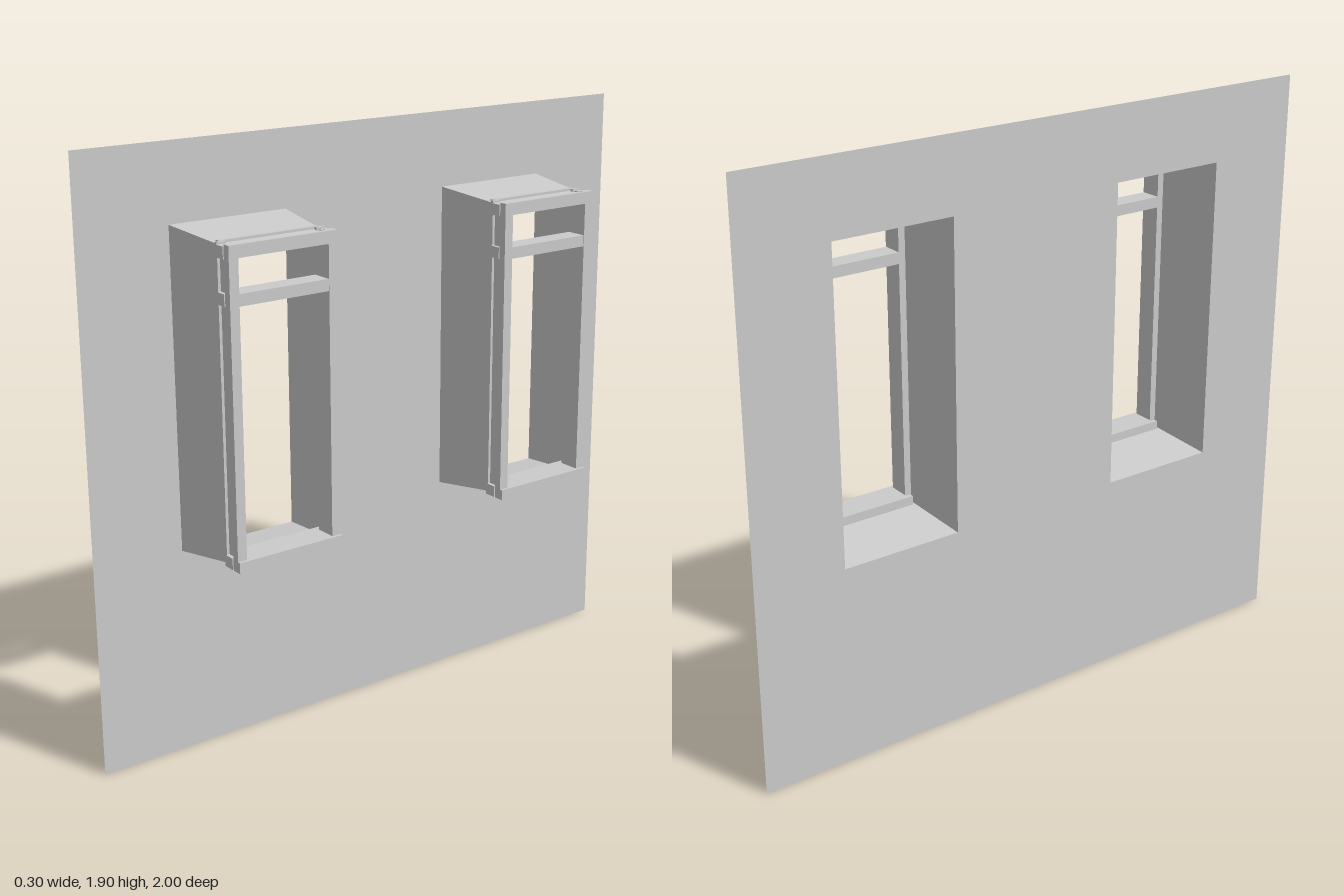
import * as THREE from 'three';

const grey = new THREE.MeshStandardMaterial({ color: 0xcccccc, flatShading: true, side: THREE.DoubleSide });

// Box given by its extents along each axis
function box(parent, name, [x0, x1], [y0, y1], [z0, z1]) {
  const mesh = new THREE.Mesh(new THREE.BoxGeometry(x1 - x0, y1 - y0, z1 - z0), grey);
  mesh.position.set((x0 + x1) / 2, (y0 + y1) / 2, (z0 + z1) / 2);
  mesh.name = name;
  parent.add(mesh);
}

// Flat wall sheet with two rectangular openings
function wall() {
  const rect = (Type, a, b, c, d) => new Type([[a, c], [b, c], [b, d], [a, d]].map(p => new THREE.Vector2(...p)));
  const shape = rect(THREE.Shape, -1, 1, 0, 1.9);
  for (const c of [-0.5, 0.5]) shape.holes.push(rect(THREE.Path, c - 0.2, c + 0.2, 0.66, 1.66));
  const mesh = new THREE.Mesh(new THREE.ShapeGeometry(shape), grey);
  mesh.rotation.y = Math.PI / 2;
  mesh.position.x = -0.15;
  mesh.name = 'wall';
  return mesh;
}

// Open four-sided sleeve tapering from the wall opening to the frame
function reveal() {
  const ring = (x, z, y0, y1) => [[x, y0, -z], [x, y0, z], [x, y1, z], [x, y1, -z]];
  const a = ring(-0.15, 0.2, 0.66, 1.66), b = ring(0.09, 0.172, 0.69, 1.636);
  const pos = [];
  for (let i = 0; i < 4; i++) {
    const j = (i + 1) % 4;
    for (const p of [a[i], a[j], b[j], a[i], b[j], b[i]]) pos.push(...p);
  }
  const g = new THREE.BufferGeometry();
  g.setAttribute('position', new THREE.Float32BufferAttribute(pos, 3));
  g.computeVertexNormals();
  const mesh = new THREE.Mesh(g, grey);
  mesh.name = 'reveal';
  return mesh;
}

function windowUnit() {
  const unit = new THREE.Group();
  unit.name = 'window';
  unit.add(reveal());

  // Grooved stiles: a web with an inner and an outer flange
  for (const s of [-1, 1]) {
    const span = (a, b) => (s > 0 ? [a, b] : [-b, -a]);
    box(unit, 'stileWeb', [0.08, 0.115], [0.69, 1.636], span(0.152, 0.174));
    box(unit, 'stileInnerFlange', [0.07, 0.08], [0.68, 1.646], span(0.152, 0.183));
    box(unit, 'stileOuterFlange', [0.115, 0.14], [0.68, 1.646], span(0.152, 0.183));
    // Rail ends crossing the groove
    for (const y of [0.70, 1.488, 1.622])
      box(unit, 'railEnd', [0.08, 0.115], [y - 0.018, y + 0.018], span(0.16, 0.186));
  }

  // Grooved head rail and bottom rail
  const rails = [['headRail', [1.608, 1.632], [1.608, 1.646]], ['bottomRail', [0.694, 0.714], [0.68, 0.714]]];
  for (const [name, web, flange] of rails) {
    box(unit, name + 'Web', [0.065, 0.125], web, [-0.152, 0.152]);
    box(unit, name + 'InnerFlange', [0.05, 0.065], flange, [-0.168, 0.168]);
    box(unit, name + 'OuterFlange', [0.125, 0.14], flange, [-0.152, 0.152]);
  }

  // Transom bar and projecting sill
  box(unit, 'transom', [0.07, 0.138], [1.47, 1.506], [-0.152, 0.152]);
  box(unit, 'sill', [0.14, 0.15], [0.68, 0.714], [-0.183, 0.183]);
  return unit;
}

export function createModel() {
  const model = new THREE.Group();
  model.name = 'wallWithWindows';
  model.add(wall());
  for (const z of [-0.5, 0.5]) {
    const unit = windowUnit();
    unit.position.z = z;
    model.add(unit);
  }
  return model;
}
